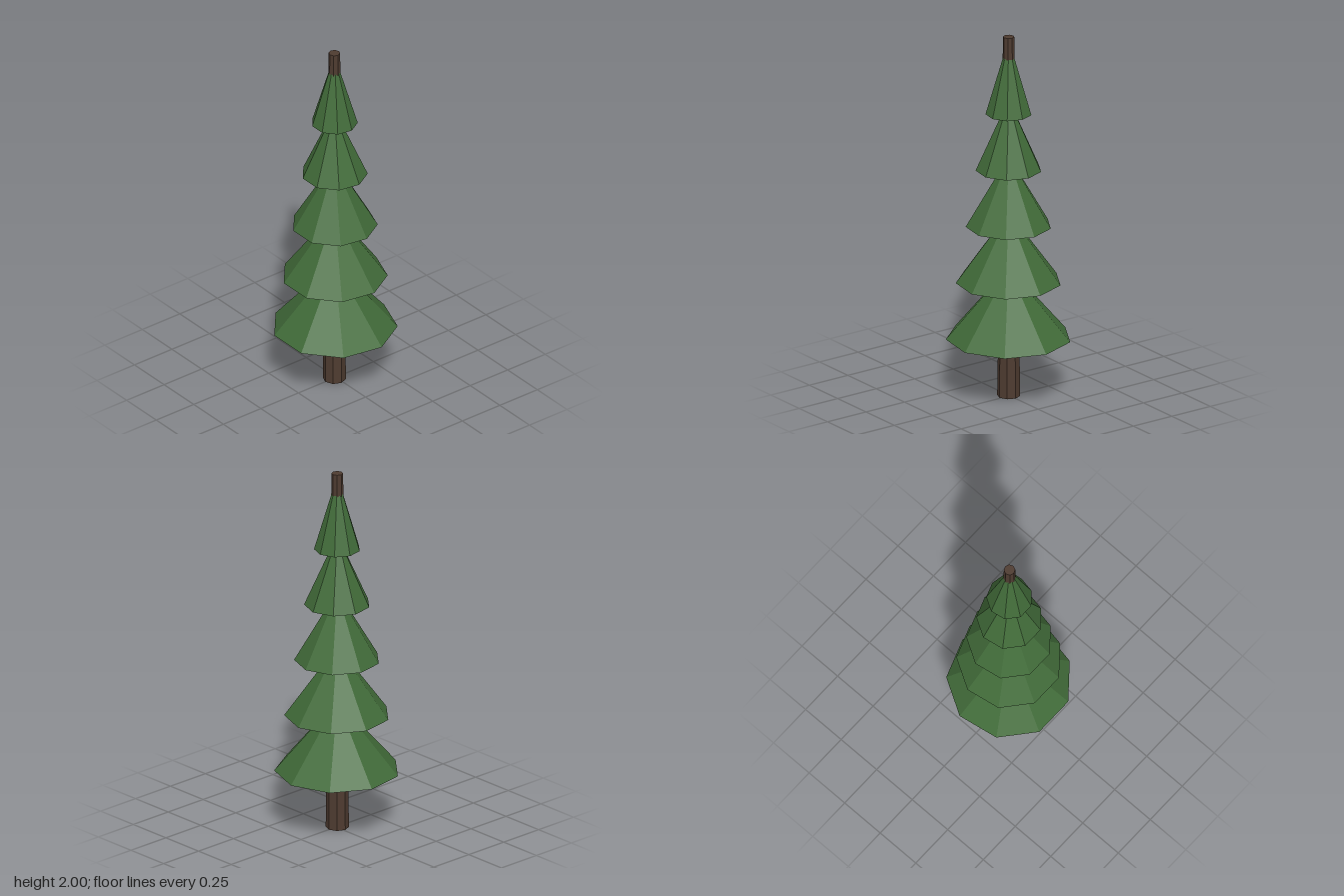
import * as THREE from 'three';

const AXIS_X = -0.01; // nine-sided tiers are wider on one side, so the axis sits off centre
const SIDES = 9;

// Tapered, faceted ring with one corner pointing to +x
function taper(name, rTop, rBottom, y0, y1, sides, material) {
  const geometry = new THREE.CylinderGeometry(rTop, rBottom, y1 - y0, sides, 1, false, Math.PI / 2);
  const mesh = new THREE.Mesh(geometry, material);
  mesh.name = name;
  mesh.position.set(AXIS_X, (y0 + y1) / 2, 0);
  return mesh;
}

export function createModel() {
  const tree = new THREE.Group();
  tree.name = 'pineTree';
  const bark = new THREE.MeshStandardMaterial({ color: 0x4e3b30, flatShading: true });
  const needles = new THREE.MeshStandardMaterial({ color: 0x416b39, flatShading: true });

  // Trunk runs through the whole tree and pokes out at the top
  tree.add(taper('trunk', 0.03, 0.061, 0, 2, 8, bark));

  // Five shrinking foliage tiers, each ending at the base of the next
  const topRadii = [0.066, 0.053, 0.043, 0.035, 0.03];
  const step = 0.312;
  topRadii.forEach((rTop, i) => {
    const y = 0.325 + i * step;
    tree.add(taper(`foliageTier${i + 1}`, rTop, 0.331 - i * 0.0522, y, y + step, SIDES, needles));
  });
  return tree;
}
